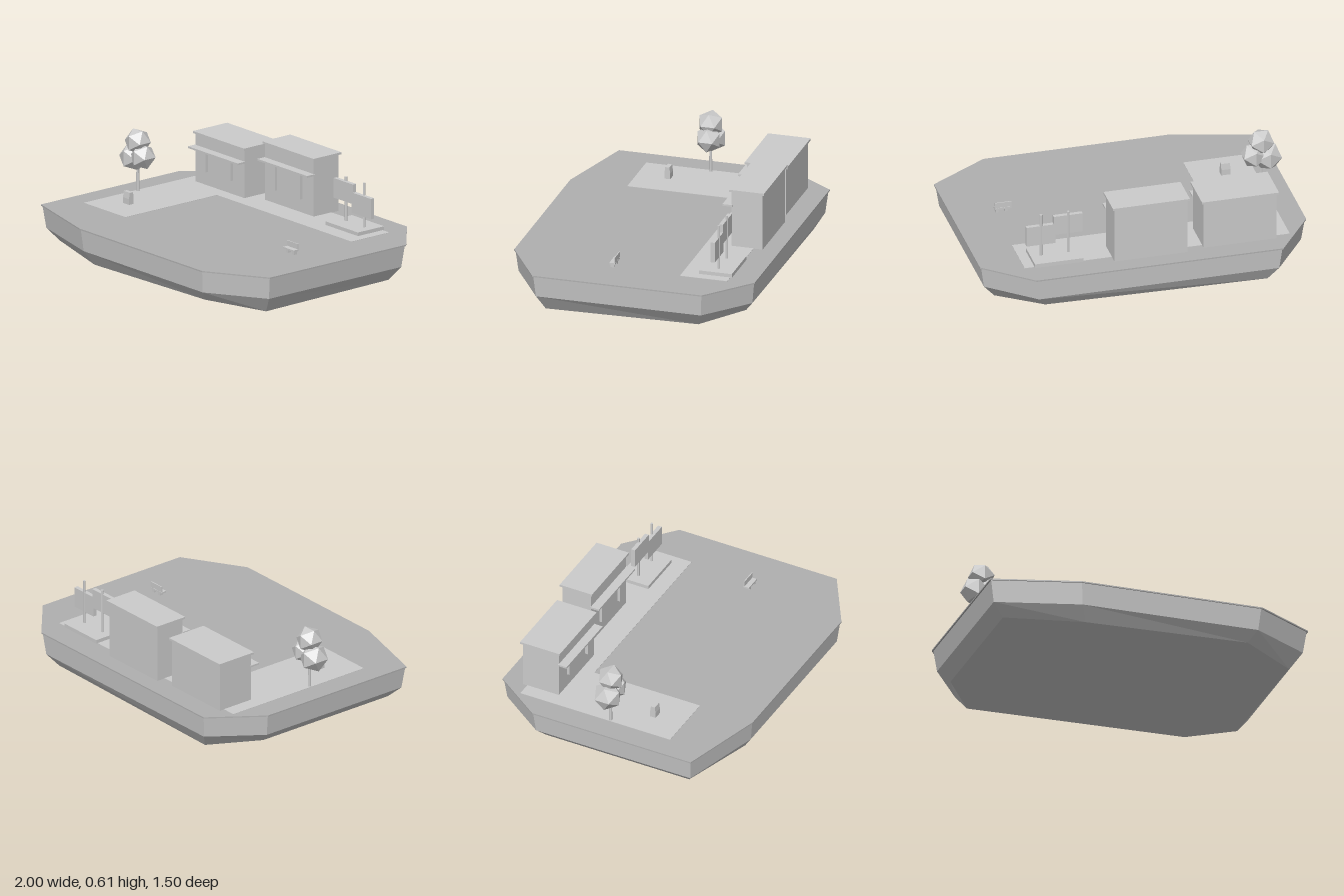
import * as THREE from 'three';

const GROUND = 0.24;
const grey = new THREE.MeshStandardMaterial({ color: 0xcccccc, flatShading: true });
const lawnGrey = new THREE.MeshStandardMaterial({ color: 0xb0b0b0, flatShading: true });

function add(parent, name, geometry, x = 0, y = 0, z = 0, material = grey) {
  const mesh = new THREE.Mesh(geometry, material);
  mesh.name = name;
  mesh.position.set(x, y, z);
  parent.add(mesh);
  return mesh;
}

// Box given by its limits on each axis
function block(parent, name, x0, x1, y0, y1, z0, z1) {
  return add(parent, name, new THREE.BoxGeometry(x1 - x0, y1 - y0, z1 - z0),
    (x0 + x1) / 2, (y0 + y1) / 2, (z0 + z1) / 2);
}

function group(parent, name) {
  const g = new THREE.Group();
  g.name = name;
  parent.add(g);
  return g;
}

// Island plan (x, z) and the uneven height of each bottom corner
const outline = [[-0.78, -0.75], [0.72, -0.75], [1, -0.51], [1, 0.53],
  [0.64, 0.75], [-0.48, 0.75], [-1, 0.61], [-1, -0.44]];
const bottomY = [0.01, 0.03, 0.012, 0, 0.035, 0.015, 0.03, 0.03];

// Loft between scaled copies of the plan
function loftGeometry(rings, capTop, capBottom) {
  const positions = [];
  const index = [];
  const n = outline.length;
  for (const [scale, y] of rings) {
    outline.forEach(([x, z], i) => positions.push(x * scale, Array.isArray(y) ? y[i] : y, z * scale));
  }
  for (let r = 0; r < rings.length - 1; r++) {
    for (let i = 0; i < n; i++) {
      const a = r * n + i, b = r * n + (i + 1) % n;
      index.push(a, b, a + n, b, b + n, a + n);
    }
  }
  const last = (rings.length - 1) * n;
  for (let i = 1; i < n - 1; i++) {
    if (capTop) index.push(0, i + 1, i);
    if (capBottom) index.push(last, last + i, last + i + 1);
  }
  const geometry = new THREE.BufferGeometry();
  geometry.setAttribute('position', new THREE.Float32BufferAttribute(positions, 3));
  geometry.setIndex(index);
  const flat = geometry.toNonIndexed();
  flat.computeVertexNormals();
  return flat;
}

function buildIsland(root) {
  const island = group(root, 'island');
  add(island, 'rockBase', loftGeometry([[0.992, 0.232], [0.972, 0.1], [0.9, bottomY]], false, true));
  add(island, 'lawn', loftGeometry([[1, GROUND], [1, 0.232], [0.992, 0.232]], true, false), 0, 0, 0, lawnGrey);

  // L-shaped pavement
  const plan = [[-0.86, -0.59], [0.75, -0.59], [0.75, -0.3], [-0.48, -0.3], [-0.48, 0.4], [-0.86, 0.4]];
  const shape = new THREE.Shape(plan.map(([x, z]) => new THREE.Vector2(x, -z)));
  const paving = new THREE.ExtrudeGeometry(shape, { depth: 0.002, bevelEnabled: false });
  paving.rotateX(-Math.PI / 2);
  add(island, 'pavement', paving, 0, GROUND, 0);
}

// Shop with a flat roof, front awning and slim facade fins
function buildShop(root, name, s) {
  const shop = group(root, name);
  block(shop, 'walls', s.x - 0.222, s.x + 0.222, GROUND, s.top - 0.012, s.back, s.front);
  block(shop, 'roof', s.x - 0.234, s.x + 0.234, s.top - 0.013, s.top, s.back - 0.012, s.front + 0.012);
  block(shop, 'awning', s.x - 0.228, s.x + 0.228, s.awning - 0.011, s.awning, s.front - 0.005, s.front + 0.055);
  for (const dx of [-0.115, 0.115]) {
    const x = s.x + dx;
    block(shop, 'facadeFin', x - 0.003, x + 0.003, 0.325, s.awning - 0.02, s.front - 0.003, s.front + 0.018);
  }
}

function buildTree(root) {
  const tree = group(root, 'tree');
  add(tree, 'trunk', new THREE.CylinderGeometry(0.008, 0.01, 0.22, 8), -0.845, GROUND + 0.11, 0);
  const clumps = [[-0.845, 0.545, 0.081], [-0.885, 0.443, 0.088], [-0.8, 0.462, 0.08]];
  for (const [x, y, r] of clumps) add(tree, 'foliage', new THREE.IcosahedronGeometry(r, 0), x, y, 0);
}

function buildBillboards(root) {
  const boards = group(root, 'billboards');
  block(boards, 'plinth', 0.395, 0.69, GROUND, 0.264, -0.6, -0.4);
  for (const [x, x0, x1, y0, y1] of [[0.462, 0.375, 0.55, 0.39, 0.51], [0.627, 0.54, 0.715, 0.335, 0.46]]) {
    add(boards, 'post', new THREE.CylinderGeometry(0.008, 0.008, 0.295, 8), x, GROUND + 0.147, -0.5);
    block(boards, 'panel', x0, x1, y0, y1, -0.503, -0.478);
  }
}

function buildFurniture(root) {
  // Bench with a backrest
  const bench = group(root, 'bench');
  block(bench, 'seat', 0.645, 0.745, 0.26, 0.27, 0.1, 0.135);
  block(bench, 'backrest', 0.645, 0.745, 0.272, 0.305, 0.1, 0.106);
  for (const x of [0.675, 0.73]) {
    block(bench, 'leg', x - 0.008, x + 0.008, GROUND, 0.261, 0.106, 0.13);
    block(bench, 'backSupport', x - 0.004, x + 0.004, 0.268, 0.275, 0.1, 0.105);
  }
  // Litter bin whose upper half narrows from front to back
  const bin = group(root, 'litterBin');
  const body = new THREE.BoxGeometry(0.055, 0.075, 0.036, 1, 2, 1);
  const p = body.attributes.position;
  for (let i = 0; i < p.count; i++) if (p.getY(i) > 0.03) p.setZ(i, p.getZ(i) * 0.7);
  body.computeVertexNormals();
  add(bin, 'binBody', body, -0.682, GROUND + 0.0375, 0.208);
}

export function createModel() {
  const root = new THREE.Group();
  root.name = 'shopIsland';
  buildIsland(root);
  buildShop(root, 'lowShop', { x: -0.55, top: 0.55, awning: 0.466, back: -0.62, front: -0.382 });
  buildShop(root, 'tallShop', { x: -0.002, top: 0.6, awning: 0.502, back: -0.645, front: -0.455 });
  buildTree(root);
  buildBillboards(root);
  buildFurniture(root);
  return root;
}
